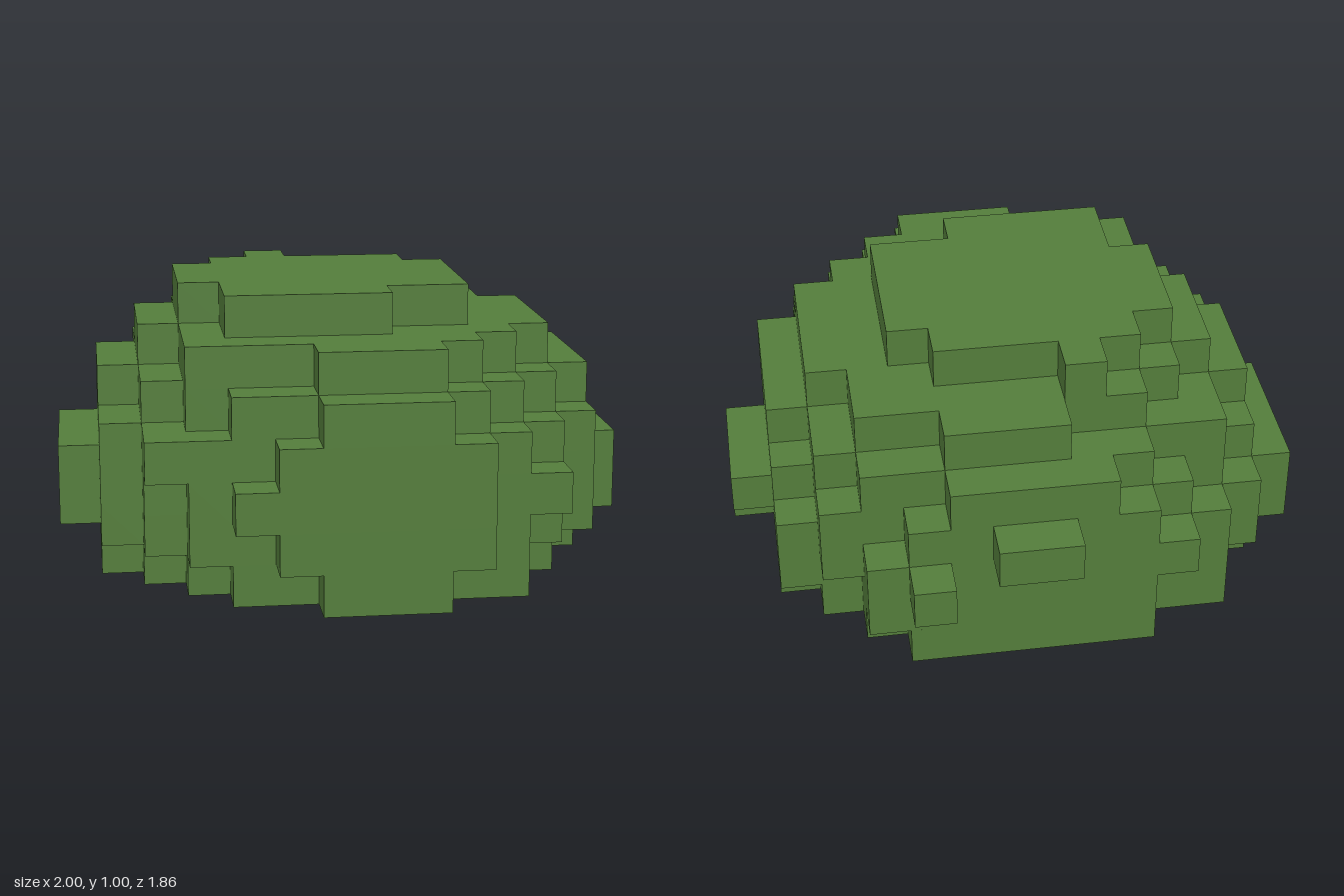
import * as THREE from 'three';

const U = 1 / 7; // edge of one block
const ROWS = 13; // rows of blocks from back to front

// Layers from the ground up: a disc of blocks (squared radius, middle column),
// with the few uneven rows given as row: [first, last] block, or null for none
const LAYERS = [
  { r2: 34.5, cx: 6.5, uneven: { 2: [2, 10], 8: [1, 11], 11: [4, 10], 12: [6, 8] } },
  { r2: 43.5, cx: 6.5, uneven: { 0: null, 1: [4, 10], 2: [2, 10], 4: [0, 12], 5: [0, 12], 12: [5, 9] } },
  { r2: 43.5, cx: 6.5, uneven: { 0: [9, 9], 4: [0, 12], 11: [3, 11] } },
  { r2: 39.5, cx: 6.5, uneven: { 0: [6, 7], 1: [4, 9], 2: [3, 11], 3: [2, 11], 11: [2, 10], 12: [5, 9] } },
  { r2: 32, cx: 6.5, uneven: { 1: [5, 8], 2: [4, 10], 8: [2, 12], 12: [6, 8] } },
  { r2: 24, cx: 6.5, uneven: { 2: [6, 8], 3: [4, 10], 8: [3, 11], 10: [3, 9], 11: [6, 8] } },
  { r2: 11, cx: 6, uneven: { 3: [5, 5], 8: [4, 9], 9: [4, 7] } },
];

// First and last block of one row, or null where the row is empty
function rowSpan({ r2, cx, uneven }, k) {
  if (k in uneven) return uneven[k];
  const rest = r2 - (k - 6) ** 2;
  if (rest < 0) return null;
  const half = Math.sqrt(rest);
  const first = Math.ceil(cx - half), last = Math.floor(cx + half);
  return first <= last ? [first, last] : null;
}

// Stepped outline of one layer, extruded by one block
function layerGeometry(layer) {
  const right = [], left = [];
  for (let k = 0; k < ROWS; k++) {
    const span = rowSpan(layer, k);
    if (!span) continue;
    right.push([span[1] + 1, k], [span[1] + 1, k + 1]);
    left.push([span[0], k], [span[0], k + 1]);
  }
  const outline = [...right, ...left.reverse()]
    .filter((p, i, all) => i === 0 || p[0] !== all[i - 1][0] || p[1] !== all[i - 1][1])
    .map(([i, k]) => new THREE.Vector2((i - 7) * U, (ROWS / 2 - k) * U));
  const geometry = new THREE.ExtrudeGeometry(new THREE.Shape(outline), { depth: U, bevelEnabled: false });
  return geometry.rotateX(-Math.PI / 2);
}

export function createModel() {
  const bush = new THREE.Group();
  bush.name = 'bush';
  const leafGreen = new THREE.MeshStandardMaterial({ color: 0x557f3c });
  leafGreen.name = 'leafGreen';

  // Foliage stacked layer by layer
  LAYERS.forEach((layer, level) => {
    const mesh = new THREE.Mesh(layerGeometry(layer), leafGreen);
    mesh.name = `foliageLayer${level + 1}`;
    mesh.position.y = level * U;
    bush.add(mesh);
  });
  return bush;
}
